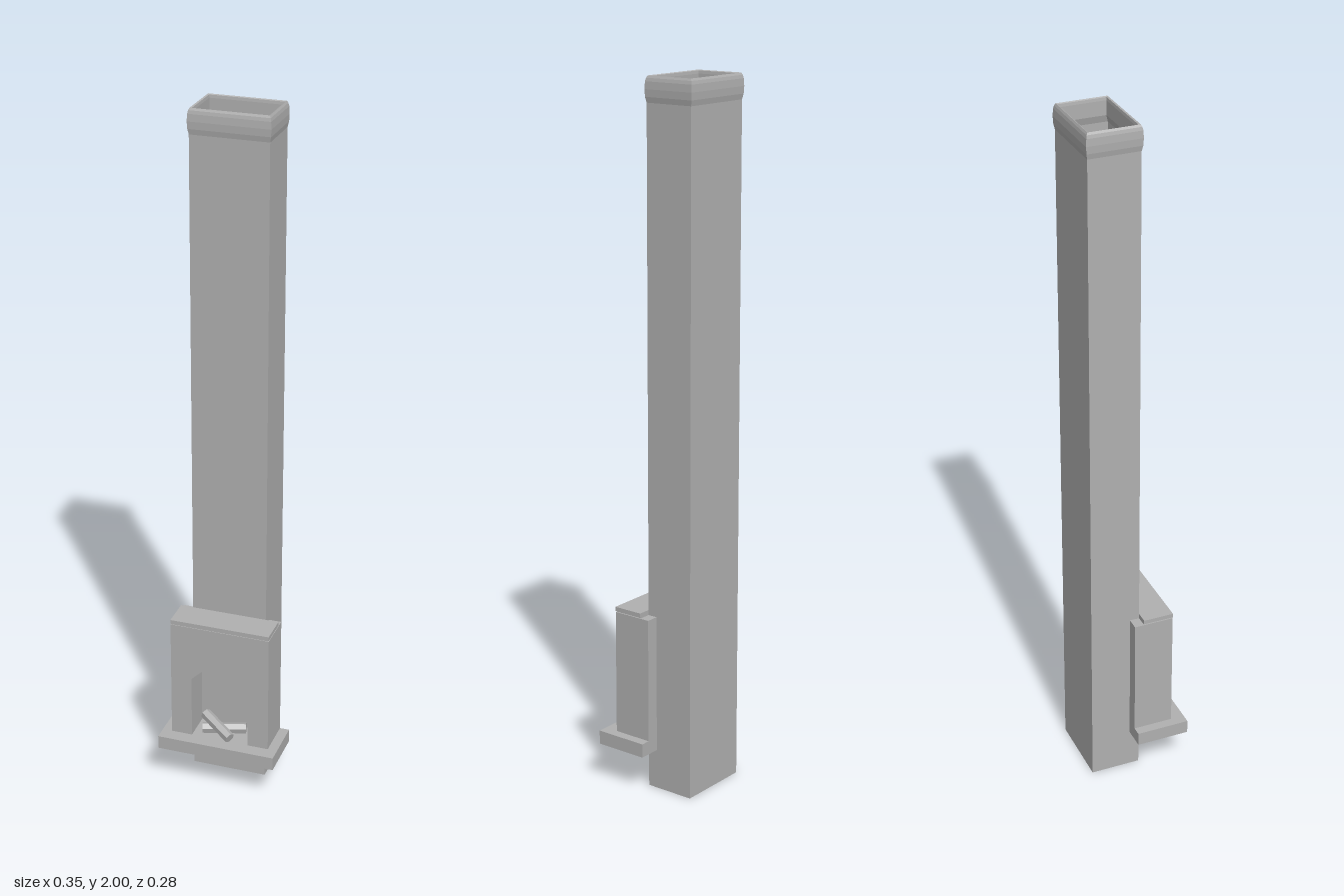
import * as THREE from 'three';

const stone = new THREE.MeshStandardMaterial({ color: 0xb0b0b0, side: THREE.DoubleSide, flatShading: true });
stone.name = 'grey stone';

function part(name, geometry, parent) {
  const mesh = new THREE.Mesh(geometry, stone);
  mesh.name = name;
  parent.add(mesh);
  return mesh;
}

// Sweeps a profile of [offset, y] pairs around a rectangle of half size hx, hz
function rectangularSweep(profile, hx, hz) {
  const corners = [[-1, 1], [1, 1], [1, -1], [-1, -1]];
  const positions = [];
  const index = [];
  for (const [offset, y] of profile) {
    for (const [sx, sz] of corners) positions.push(sx * (hx + offset), y, sz * (hz + offset));
  }
  for (let i = 0; i < profile.length - 1; i++) {
    for (let j = 0; j < 4; j++) {
      const a = i * 4 + j, b = i * 4 + (j + 1) % 4;
      index.push(a, b, b + 4, a, b + 4, a + 4);
    }
  }
  const geometry = new THREE.BufferGeometry();
  geometry.setAttribute('position', new THREE.Float32BufferAttribute(positions, 3));
  geometry.setIndex(index);
  const flat = geometry.toNonIndexed();
  flat.computeVertexNormals();
  return flat;
}

// Box placed by its limits on each axis, optionally without its underside
function block([x0, x1], [y0, y1], [z0, z1], openBottom = false) {
  const geometry = new THREE.BoxGeometry(x1 - x0, y1 - y0, z1 - z0);
  geometry.translate((x0 + x1) / 2, (y0 + y1) / 2, (z0 + z1) / 2);
  if (openBottom) {
    const faces = Array.from(geometry.index.array);
    faces.splice(18, 6);
    geometry.setIndex(faces);
    geometry.clearGroups();
  }
  return geometry;
}

// Six-sided log between two points
function log(name, from, to, radius, parent) {
  const a = new THREE.Vector3(...from), b = new THREE.Vector3(...to);
  const direction = b.clone().sub(a);
  const mesh = part(name, new THREE.CylinderGeometry(radius, radius, direction.length(), 6), parent);
  mesh.position.copy(a).add(b).multiplyScalar(0.5);
  mesh.quaternion.setFromUnitVectors(new THREE.Vector3(0, 1, 0), direction.normalize());
}

export function createModel() {
  const model = new THREE.Group();
  model.name = 'fireplace with chimney';

  // Tall hollow chimney
  const chimney = new THREE.Group();
  chimney.name = 'chimney';
  chimney.position.z = -0.063;
  model.add(chimney);
  const hx = 0.11, hz = 0.073;
  part('shaft', rectangularSweep([[0, 0], [0, 1.95]], hx, hz), chimney);
  part('rim', rectangularSweep([
    [0, 1.93], [0.003, 1.945], [0.004, 1.965], [0.003, 1.985], [0.001, 1.994], [-0.002, 2],
    [-0.006, 1.998], [-0.007, 1.99], [-0.007, 1.95], [-0.001, 1.93],
  ], hx, hz), chimney);
  part('flueFloor', block([-0.109, 0.109], [0.15, 0.155], [-0.072, 0.072]), chimney);

  // Fireplace front with an arched opening
  const outline = new THREE.Shape();
  outline.moveTo(-0.147, 0.155);
  outline.lineTo(-0.085, 0.155);
  outline.lineTo(-0.085, 0.345);
  outline.bezierCurveTo(-0.055, 0.375, -0.03, 0.4, 0, 0.4);
  outline.bezierCurveTo(0.03, 0.4, 0.055, 0.375, 0.085, 0.345);
  outline.lineTo(0.085, 0.155);
  outline.lineTo(0.147, 0.155);
  outline.lineTo(0.147, 0.515);
  outline.lineTo(-0.147, 0.515);
  outline.closePath();
  const surround = new THREE.ExtrudeGeometry(outline, { depth: 0.116, bevelEnabled: false, curveSegments: 6 });
  surround.translate(0, 0, -0.018);
  part('surround', surround, model);
  part('mantelShelf', block([-0.147, 0.147], [0.518, 0.53], [0.01, 0.099]), model);
  part('mantelJoint', block([-0.143, 0.143], [0.514, 0.519], [0.01, 0.096]), model);

  // Hearth slab, hollow underneath
  part('hearth', block([-0.175, 0.175], [0.115, 0.155], [-0.018, 0.138], true), model);

  // Crossed logs
  const logs = new THREE.Group();
  logs.name = 'logs';
  model.add(logs);
  log('leaningLog', [-0.056, 0.213, 0.061], [0.037, 0.18, 0.115], 0.016, logs);
  log('lyingLog', [-0.06, 0.171, 0.075], [0.062, 0.173, 0.04], 0.016, logs);

  return model;
}
